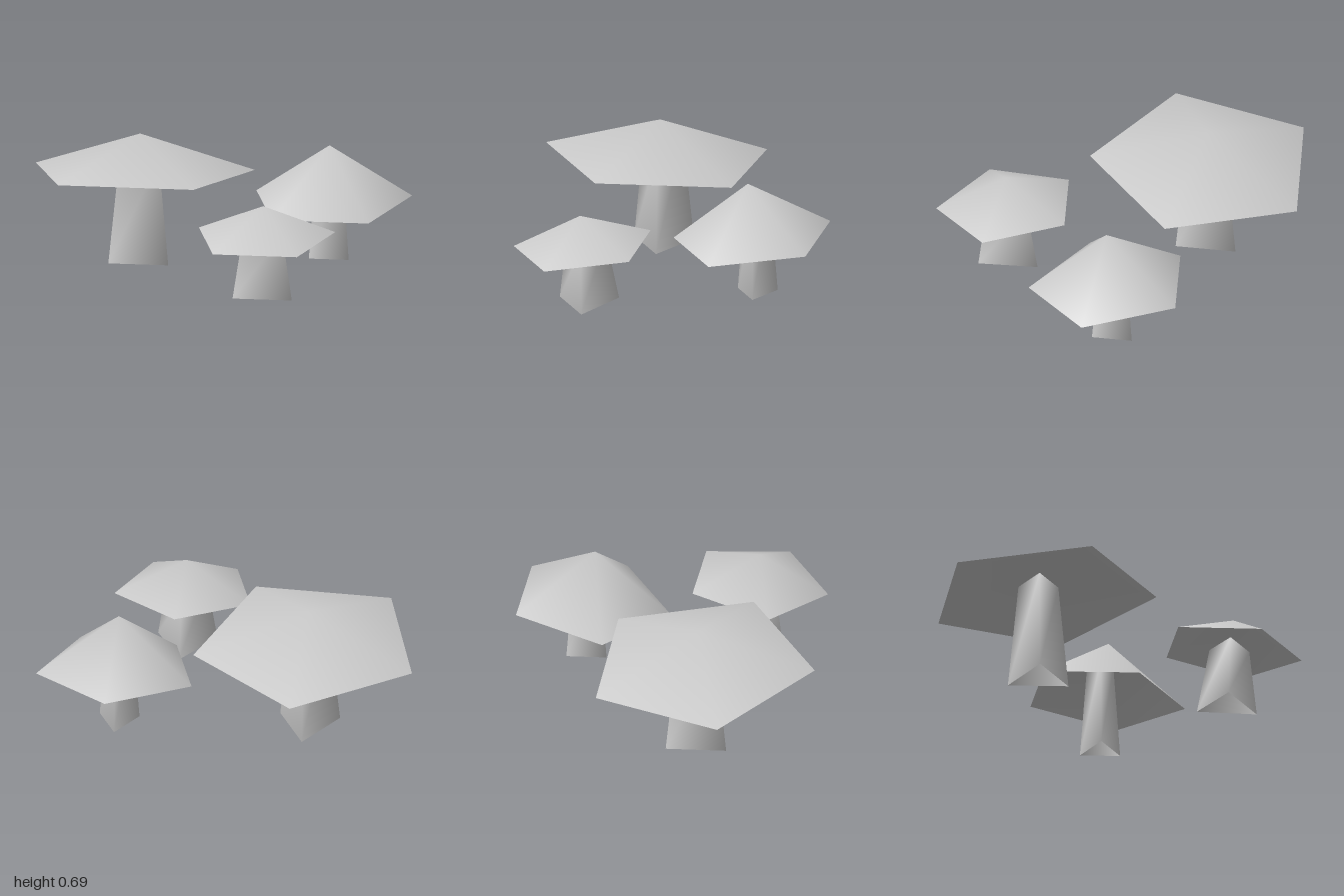
import * as THREE from 'three';
import { mergeVertices } from 'three/addons/utils/BufferGeometryUtils.js';

const grey = new THREE.MeshStandardMaterial({ color: 0xcccccc, side: THREE.DoubleSide });
grey.name = 'plain grey';

// Open tapered tube with few sides, welded for smooth shading, one corner at the back
function taper(topRadius, bottomRadius, height, sides) {
  const tube = new THREE.CylinderGeometry(topRadius, bottomRadius, height, sides, 1, true);
  let g = tube.index ? tube.toNonIndexed() : tube;
  g.deleteAttribute('uv');
  g.deleteAttribute('normal');
  g = mergeVertices(g, 1e-4);
  g.translate(0, height / 2, 0);
  g.rotateY(Math.PI);
  g.computeVertexNormals();
  return g;
}

function createMushroom(name, { stem, cap }) {
  const group = new THREE.Group();
  group.name = name;

  // Three-sided stem, open at both ends
  const stemMesh = new THREE.Mesh(taper(stem.top, stem.bottom, stem.height, 3), grey);
  stemMesh.name = 'stem';
  stemMesh.position.set(...stem.at);
  stemMesh.rotation.x = stem.lean;

  // Five-sided hollow cap, tilted forwards or backwards
  const capMesh = new THREE.Mesh(taper(0, cap.radius, cap.height, 5), grey);
  capMesh.name = 'cap';
  capMesh.position.set(...cap.at);
  capMesh.rotation.x = cap.tilt;

  group.add(stemMesh, capMesh);
  return group;
}

export function createModel() {
  const model = new THREE.Group();
  model.name = 'mushrooms';
  model.add(
    createMushroom('largeMushroom', {
      stem: { top: 0.122, bottom: 0.185, height: 0.56, at: [-0.41, 0, -0.226], lean: 0 },
      cap: { radius: 0.616, height: 0.207, at: [-0.413, 0.483, -0.21], tilt: -0.054 },
    }),
    createMushroom('tallMushroom', {
      stem: { top: 0.081, bottom: 0.123, height: 0.5, at: [0.58, 0.02, -0.382], lean: 0 },
      cap: { radius: 0.438, height: 0.31, at: [0.582, 0.326, -0.366], tilt: 0.1 },
    }),
    createMushroom('smallMushroom', {
      stem: { top: 0.122, bottom: 0.183, height: 0.345, at: [0.363, 0, 0.493], lean: 0.04 },
      cap: { radius: 0.383, height: 0.172, at: [0.36, 0.319, 0.511], tilt: 0.109 },
    }),
  );
  return model;
}
